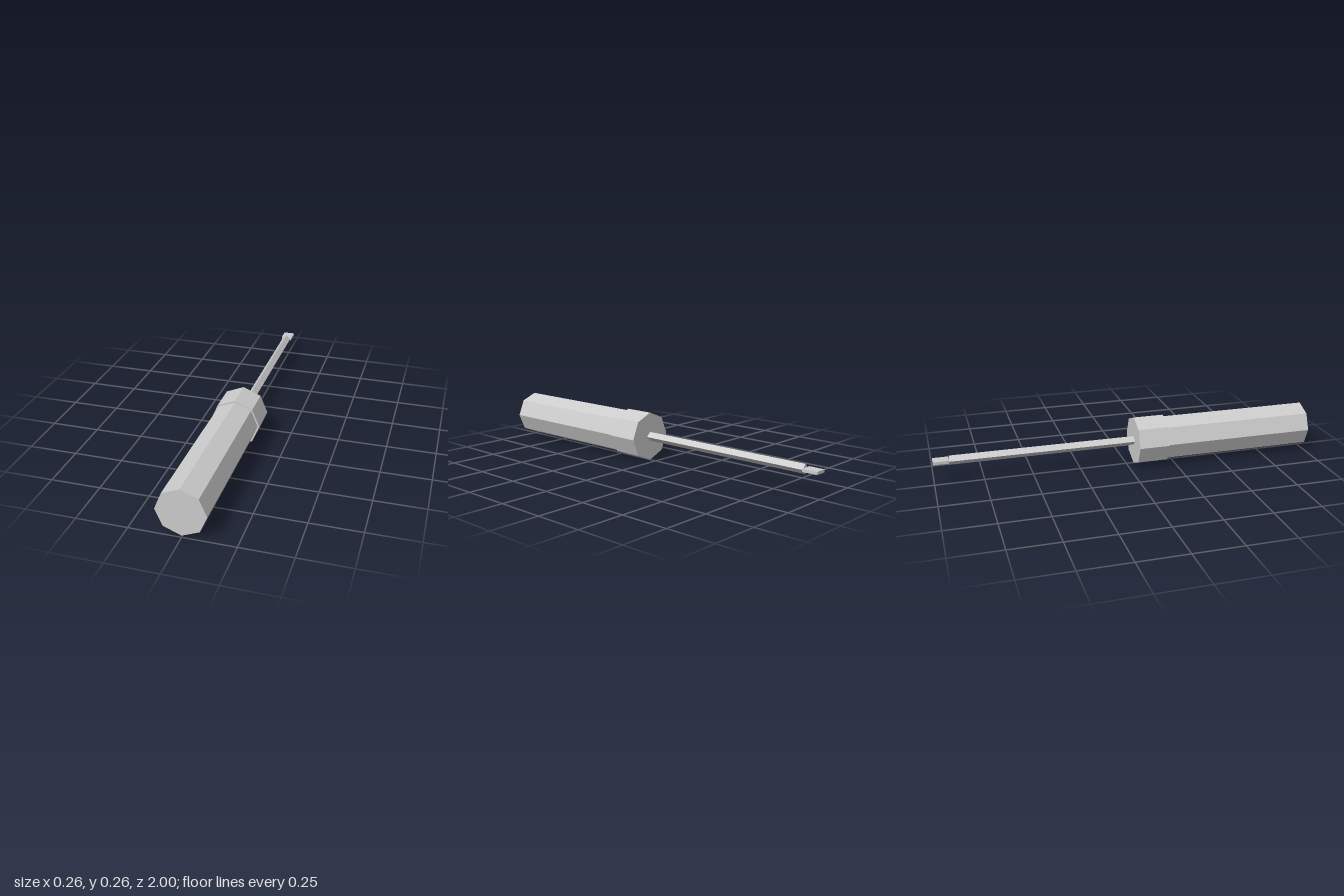
import * as THREE from 'three';

export function createModel() {
  const model = new THREE.Group();
  model.name = 'screwdriver';
  const grey = new THREE.MeshStandardMaterial({ color: 0xcccccc, flatShading: true });
  grey.name = 'light grey';
  const axisY = 0.128;

  function add(name, geometry, z) {
    const mesh = new THREE.Mesh(geometry, grey);
    mesh.name = name;
    mesh.position.set(0, axisY, z);
    model.add(mesh);
  }

  // Faceted bar along z, with a corner pointing straight up
  function bar(name, radius, sides, zFront, zBack) {
    const geometry = new THREE.CylinderGeometry(radius, radius, zFront - zBack, sides);
    geometry.rotateX(Math.PI / 2);
    add(name, geometry, (zFront + zBack) / 2);
  }

  bar('handle', 0.119, 8, 1, 0.2);
  bar('collar', 0.128, 8, 0.2, 0.04);
  bar('shaft', 0.024, 4, 0.04, -0.92);

  // Flat blade at the end of the shaft
  add('blade', new THREE.BoxGeometry(0.06, 0.015, 0.078), -0.961);

  return model;
}
